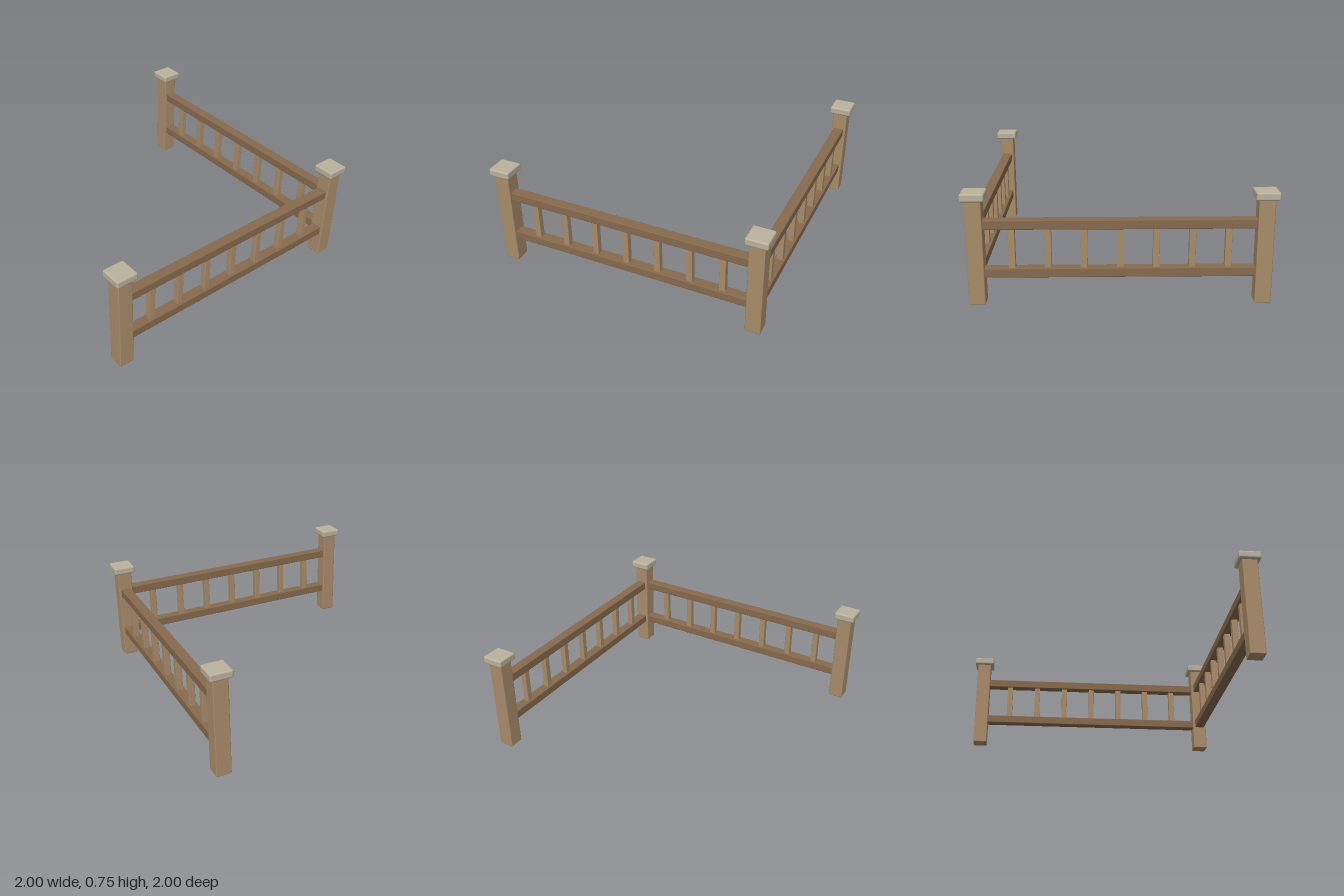
import * as THREE from 'three';
import { RoundedBoxGeometry } from 'three/addons/geometries/RoundedBoxGeometry.js';

const postWood = new THREE.MeshStandardMaterial({ color: 0xa98c6a });
const railWood = new THREE.MeshStandardMaterial({ color: 0x876a4e });
const stone = new THREE.MeshStandardMaterial({ color: 0xbab29e });

const CORNER = 0.923; // post centre distance from the middle

// Softly bevelled block standing on y = bottom
function block(name, material, w, h, d, x, bottom, z, bevel) {
  const mesh = new THREE.Mesh(new RoundedBoxGeometry(w, h, d, 2, bevel), material);
  mesh.name = name;
  mesh.position.set(x, bottom + h / 2, z);
  return mesh;
}

// Square post with a stone cap
function createPost(x, z) {
  const post = new THREE.Group();
  post.name = 'post';
  post.add(block('postShaft', postWood, 0.107, 0.71, 0.107, 0, 0, 0, 0.007));
  post.add(block('postCap', stone, 0.154, 0.054, 0.154, 0, 0.696, 0, 0.012));
  post.position.set(x, 0, z);
  return post;
}

// Two rails and seven balusters running along x
function createPanel(name) {
  const panel = new THREE.Group();
  panel.name = name;
  const length = CORNER * 2 - 0.09;
  panel.add(block('topRail', railWood, length, 0.062, 0.072, 0, 0.503, 0, 0.005));
  panel.add(block('bottomRail', railWood, length, 0.062, 0.072, 0, 0.18, 0, 0.005));
  for (let i = -3; i <= 3; i++) {
    panel.add(block('baluster', postWood, 0.043, 0.28, 0.043, i * 0.231, 0.232, 0, 0.003));
  }
  return panel;
}

export function createModel() {
  const fence = new THREE.Group();
  fence.name = 'cornerFence';

  for (const [x, z] of [[-1, 1], [1, 1], [1, -1]]) {
    fence.add(createPost(x * CORNER, z * CORNER));
  }

  const front = createPanel('frontPanel');
  front.position.z = CORNER;

  const side = createPanel('sidePanel');
  side.rotation.y = Math.PI / 2;
  side.position.x = CORNER;

  fence.add(front, side);
  return fence;
}
